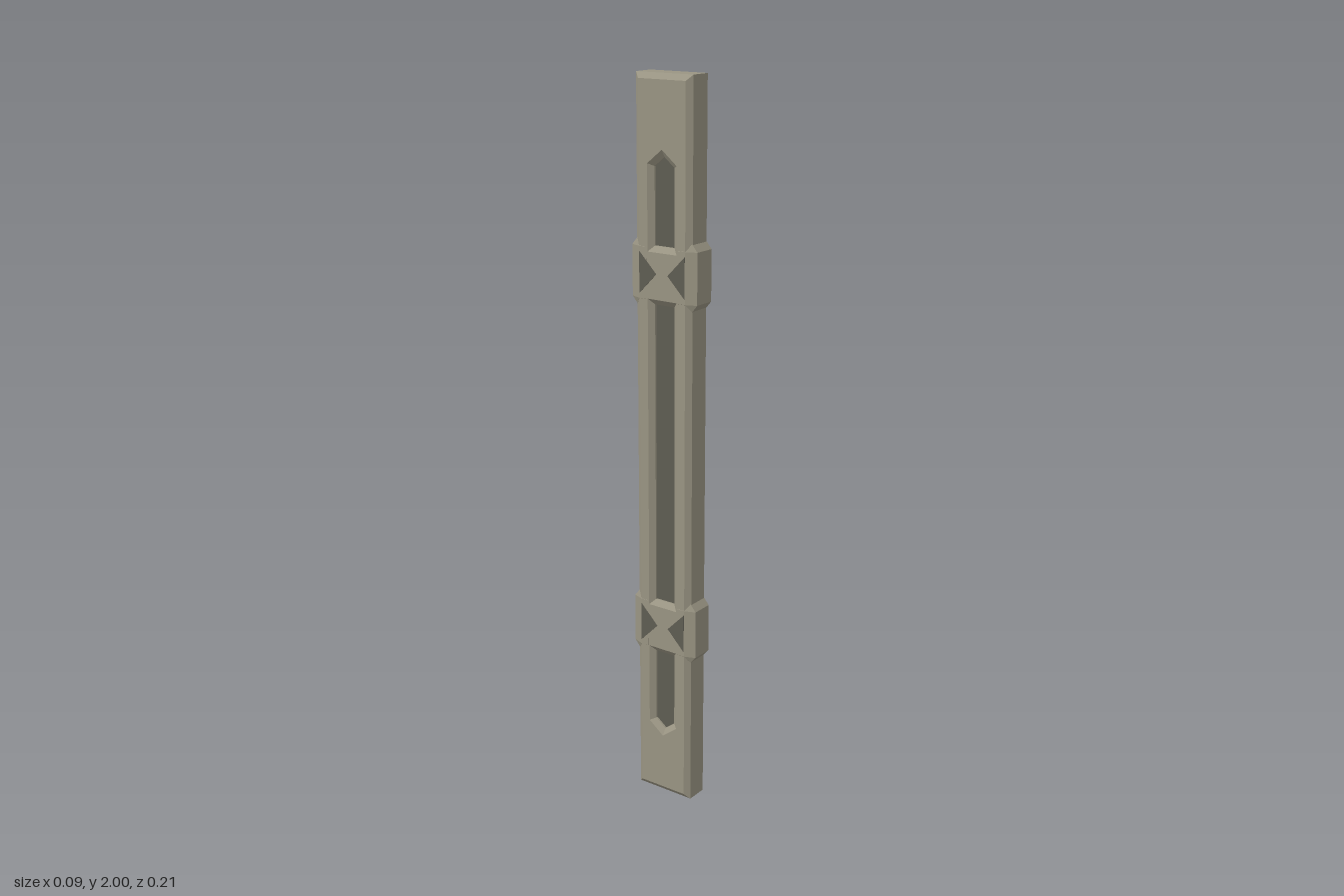
import * as THREE from 'three';
import { ConvexGeometry } from 'three/addons/geometries/ConvexGeometry.js';

const stone = new THREE.MeshStandardMaterial({ color: 0x9a9583 });
stone.name = 'warm grey';
const dark = new THREE.MeshStandardMaterial({ color: 0x5f5d53 });
dark.name = 'dark grey';

const points = (list) => list.map(([x, y]) => new THREE.Vector2(x, y));

// Extrudes a side outline across the thickness of the bar, centred on x = 0
function sidePlate(shape, depth, bevel = {}) {
  const geometry = new THREE.ExtrudeGeometry(shape, { depth, bevelEnabled: false, ...bevel });
  geometry.translate(0, 0, -depth / 2);
  geometry.rotateY(Math.PI / 2);
  return geometry;
}

// One collar lug, wrapping the front or back edge of the bar
function lugGeometry(side) {
  const corners = [];
  for (const x of [-1, 1]) {
    for (const [y, z] of [[-0.087, 0.087], [-0.068, 0.103], [0.068, 0.103], [0.087, 0.087]]) {
      corners.push(new THREE.Vector3(x * 0.031, y, side * z));
    }
    for (const y of [-0.068, 0.068]) {
      corners.push(new THREE.Vector3(x * 0.0424, y, side * 0.05));
      corners.push(new THREE.Vector3(x * 0.0424, y, side * 0.073));
    }
  }
  return new ConvexGeometry(corners);
}

export function createModel() {
  const model = new THREE.Group();
  model.name = 'panelledBar';
  const add = (parent, name, geometry, material) => {
    const mesh = new THREE.Mesh(geometry, material);
    mesh.name = name;
    parent.add(mesh);
    return mesh;
  };

  // Chamfered bar with three bevelled recesses on each broad face
  const w = 0.031;
  const outline = new THREE.Shape(points([[-0.088, 0], [0.088, 0], [0.088, 2], [-0.088, 2]]));
  const recesses = [
    [[-w, 0.43], [-w, 0.22], [0, 0.196], [w, 0.22], [w, 0.43]],
    [[-w, 0.585], [w, 0.585], [w, 1.415], [-w, 1.415]],
    [[-w, 1.568], [w, 1.568], [w, 1.77], [0, 1.795], [-w, 1.77]],
  ];
  for (const recess of recesses) outline.holes.push(new THREE.Path(points(recess)));
  add(model, 'bar', sidePlate(outline, 0.06, {
    bevelEnabled: true, bevelThickness: 0.012, bevelSize: 0.015,
    bevelOffset: -0.015, bevelSegments: 1,
  }), stone);

  // Dark floors of the recesses
  for (const recess of recesses) {
    add(model, 'recessFloor', sidePlate(new THREE.Shape(points(recess)), 0.05), dark);
  }

  // Two collars with raised lugs and dark wedges on the broad faces
  for (const y of [0.512, 1.497]) {
    const collar = new THREE.Group();
    collar.name = 'collar';
    collar.position.y = y;
    for (const side of [-1, 1]) {
      add(collar, 'collarLug', lugGeometry(side), stone);
      const wedge = new THREE.Shape(points([
        [side * 0.072, -0.055], [side * 0.072, 0.055], [side * 0.018, 0],
      ]));
      for (const face of [-1, 1]) {
        const plate = add(collar, 'collarWedge', sidePlate(wedge, 0.002), dark);
        plate.position.x = face * 0.0422;
      }
    }
    model.add(collar);
  }
  return model;
}
